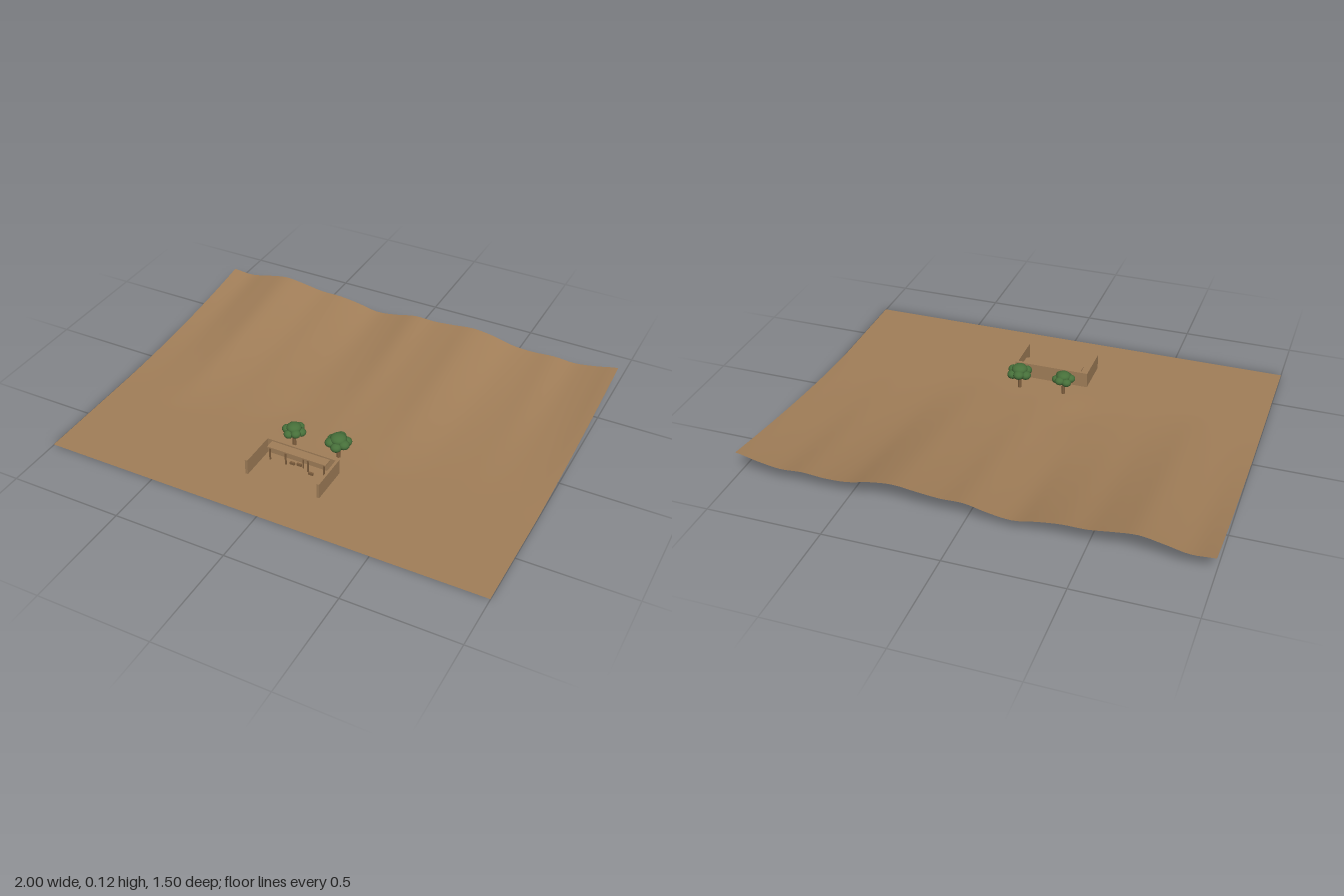
import * as THREE from 'three';

const BASE = 0.004; // level of the flat ground

// ridge heights along the back edge, evenly spaced from x = -1 to 1
const ridge = new THREE.SplineCurve(
  [0.08, 0.074, 0.095, 0.113, 0.103, 0.089, 0.088, 0.076, 0.058, 0.07, 0.092,
    0.091, 0.1, 0.111, 0.1, 0.077, 0.072, 0.079, 0.073, 0.088, 0.11]
    .map((y, i) => new THREE.Vector2(-1 + i * 0.1, y)));

function groundHeight(x, z) {
  const back = ridge.getPoint((x + 1) / 2).y;
  const t = Math.max(0, (0.3 - z) / 1.05);
  const power = 1.45 + (0.113 - back) * 20; // hollows stay low for longer
  const dip = 0.004 * Math.exp(-(((x + 0.2) / 0.1) ** 2) - ((z - 0.1) / 0.12) ** 2);
  return BASE - dip + (back - BASE) * t ** power;
}

export function createModel() {
  const model = new THREE.Group();
  const sand = new THREE.MeshStandardMaterial({ color: 0xa27f59, side: THREE.DoubleSide });
  sand.name = 'sand';
  const wood = new THREE.MeshStandardMaterial({ color: 0x80603f });
  wood.name = 'wood';
  const leaf = new THREE.MeshStandardMaterial({ color: 0x47703a });
  leaf.name = 'leaf';

  function add(parent, name, geometry, material, x, y, z) {
    const mesh = new THREE.Mesh(geometry, material);
    mesh.name = name;
    mesh.position.set(x, y, z);
    parent.add(mesh);
    return mesh;
  }
  // box standing on height y
  function box(parent, name, material, w, h, d, x, y, z) {
    return add(parent, name, new THREE.BoxGeometry(w, h, d), material, x, y + h / 2, z);
  }

  // rolling ground sheet, flat in front and rising to the back
  const ground = new THREE.PlaneGeometry(2, 1.5, 80, 50).rotateX(-Math.PI / 2);
  const p = ground.attributes.position;
  for (let i = 0; i < p.count; i++) p.setY(i, groundHeight(p.getX(i), p.getZ(i)));
  ground.computeVertexNormals();
  add(model, 'ground', ground, sand, 0, 0, 0);

  // three-sided wall, open to the front
  const shelter = new THREE.Group();
  shelter.name = 'shelter';
  model.add(shelter);
  box(shelter, 'backWall', sand, 0.345, 0.071, 0.012, -0.002, BASE, 0.366);
  for (const x of [-0.169, 0.165]) box(shelter, 'sideWall', sand, 0.012, 0.071, 0.18, x, BASE, 0.45);

  // long counter on posts
  box(shelter, 'counterTop', sand, 0.275, 0.006, 0.042, -0.002, 0.066, 0.397);
  for (const x of [-0.13, -0.055, 0.05, 0.125])
    box(shelter, 'post', wood, 0.006, 0.063, 0.006, x, BASE, 0.412);

  // tools and small blocks kept below the counter
  box(shelter, 'toolHandle', wood, 0.005, 0.05, 0.005, 0.022, BASE, 0.4);
  box(shelter, 'toolHead', wood, 0.03, 0.006, 0.006, 0.022, 0.053, 0.4);
  for (const [x, z] of [[-0.03, 0.4], [0.0, 0.395], [0.07, 0.425]])
    box(shelter, 'block', wood, 0.022, 0.012, 0.008, x, BASE, z);

  // trees with clustered, flattened crowns
  function tree(x, z, r, top, turn) {
    const group = new THREE.Group();
    group.name = 'tree';
    group.position.set(x, 0, z);
    group.rotation.y = turn;
    model.add(group);
    const crown = top - r * 0.6;
    add(group, 'trunk', new THREE.CylinderGeometry(0.006, 0.009, crown, 8), wood, 0, crown / 2 + 0.002, 0);
    const clump = new THREE.IcosahedronGeometry(1, 2);
    add(group, 'crownTop', clump, leaf, 0, top - r * 0.4, 0).scale.set(r * 0.62, r * 0.4, r * 0.62);
    for (let i = 0; i < 6; i++) {
      const a = (i * Math.PI) / 3;
      const lift = i % 2 ? 0.03 : -0.1;
      add(group, 'crownClump', clump, leaf, Math.cos(a) * r * 0.58, crown + (lift - 0.05) * r, Math.sin(a) * r * 0.58)
        .scale.set(r * 0.42, r * 0.34, r * 0.42);
    }
  }
  tree(-0.088, 0.278, 0.053, 0.116, 0.2);
  tree(0.117, 0.266, 0.059, 0.123, 0.7);

  return model;
}
